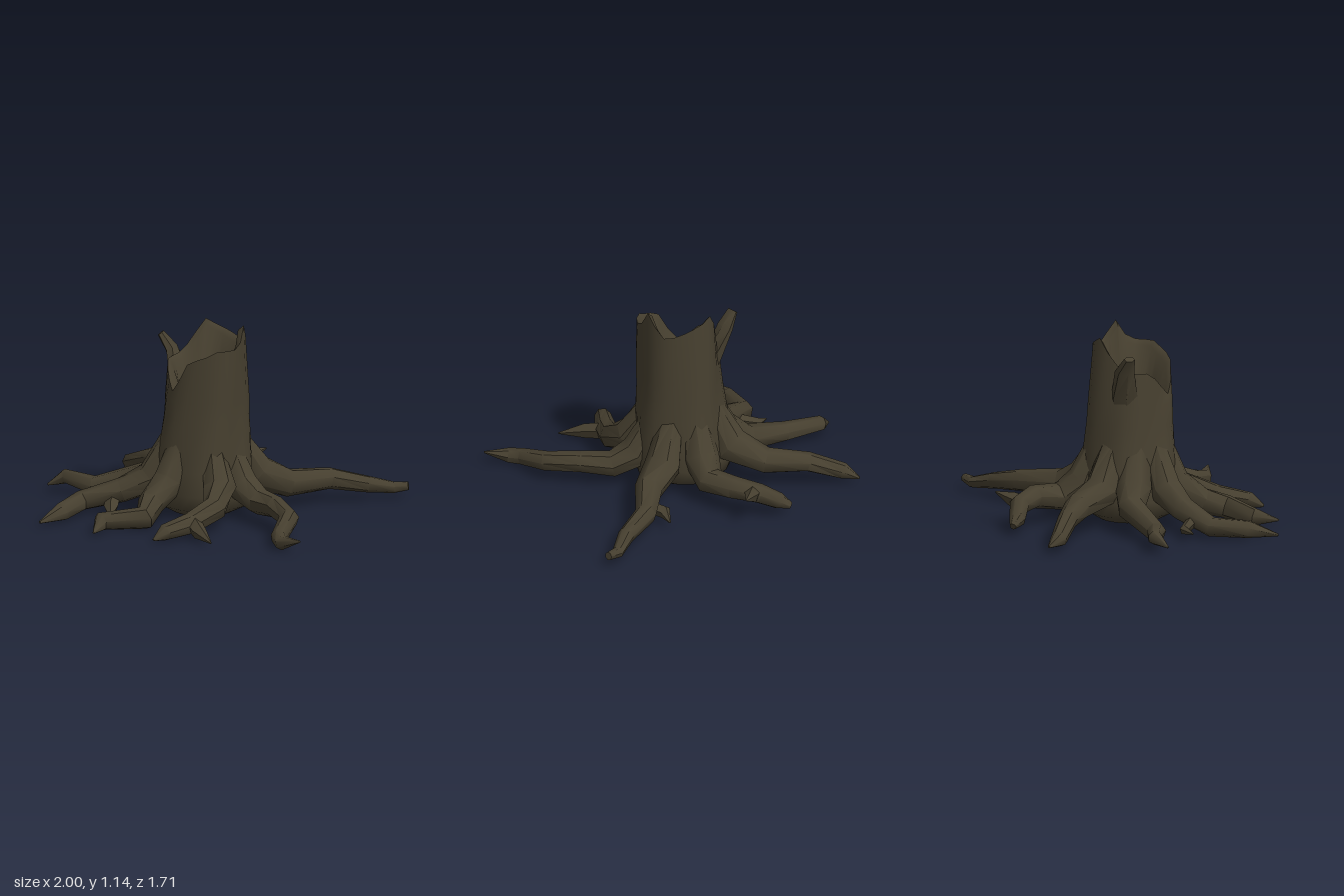
import * as THREE from 'three';
import { toCreasedNormals } from 'three/addons/utils/BufferGeometryUtils.js';

const bark = new THREE.MeshStandardMaterial({ color: 0x463f2f });
bark.name = 'dark bark';

// Skin a list of closed rings (arrays of Vector3) into one surface
function loft(name, rings, crease = 0.9) {
  const n = rings[0].length, pos = [], index = [];
  rings.forEach(ring => ring.forEach(p => pos.push(p.x, p.y, p.z)));
  for (let k = 0; k < rings.length - 1; k++) {
    for (let i = 0; i < n; i++) {
      const a = k * n + i, b = k * n + (i + 1) % n, c = a + n, d = b + n;
      index.push(a, c, b, b, c, d);
    }
  }
  const geo = new THREE.BufferGeometry();
  geo.setAttribute('position', new THREE.Float32BufferAttribute(pos, 3));
  geo.setIndex(index);
  const mesh = new THREE.Mesh(toCreasedNormals(geo, crease), bark);
  mesh.name = name;
  return mesh;
}

// Angular tapered limb through points [x, y, z, radius]
function limb(name, path, flat = 1, sides = 7) {
  const pts = path.map(p => new THREE.Vector3(p[0], p[1], p[2]));
  const up = new THREE.Vector3(0, 1, 0);
  const rings = pts.map((p, k) => {
    const ahead = pts[Math.min(k + 1, pts.length - 1)].clone().sub(pts[Math.min(k, pts.length - 2)]).normalize();
    const behind = pts[Math.max(k, 1)].clone().sub(pts[Math.max(k - 1, 0)]).normalize();
    const t = ahead.add(behind).normalize();
    const s = t.clone().cross(up).normalize();
    const v = s.clone().cross(t);
    return Array.from({ length: sides }, (_, i) => {
      const a = i / sides * Math.PI * 2 + 0.3, r = path[k][3];
      const q = p.clone().addScaledVector(s, Math.cos(a) * r).addScaledVector(v, Math.sin(a) * r * flat);
      q.y = Math.max(q.y, 0.008);
      return q;
    });
  });
  // close both ends
  rings.unshift(rings[0].map(() => pts[0].clone()));
  rings.push(rings[0].map(() => pts[pts.length - 1].clone()));
  return loft(name, rings);
}

// Hollow trunk with a splintered rim, 15 degrees per step from +x towards +z
function trunk() {
  const rim = [1.06, 1.03, 1.03, 1.03, 1.0, 0.98, 0.95, 0.84, 0.77, 0.82, 0.88, 0.92,
    0.92, 0.93, 0.97, 1.04, 1.12, 1.09, 1.07, 1.05, 1.03, 1.02, 1.08, 1.15];
  const ring = (r, height, bump = 0, cx = 0.02, cz = 0.01) => rim.map((top, i) => {
    const a = i / rim.length * Math.PI * 2;
    const y = height(top);
    const rr = r + bump * Math.cos(5 * a + y * 4);
    return new THREE.Vector3(cx + rr * Math.cos(a), y, cz + rr * Math.sin(a));
  });
  // outer wall: [radius, y, ridge depth, centre x]
  const outer = [[0, 0.02, 0, 0], [0.18, 0.02, 0, 0], [0.27, 0.07, 0.01, 0], [0.29, 0.16, 0.015, 0],
    [0.28, 0.3, 0.015, 0], [0.265, 0.45, 0.012, 0.01], [0.25, 0.6, 0.01, 0.015], [0.245, 0.72, 0.01, 0.02]]
    .map(([r, y, b, cx]) => ring(r, () => y, b, cx));
  // rim and hollow
  return loft('trunk', [...outer,
    ring(0.23, t => t, 0.005, 0.03, 0.02),
    ring(0.2, t => t - 0.03, 0.01, 0.03, 0.02),
    ring(0.16, t => 0.7 + (t - 0.77) * 0.25, 0.015, 0.03, 0.02),
    ring(0.1, () => 0.62, 0.01, 0.03, 0.02),
    ring(0, () => 0.6, 0, 0.03, 0.02)], 1.0);
}

export function createModel() {
  const group = new THREE.Group();
  group.name = 'treeStump';
  group.add(trunk());

  // Splinter leaning out of the rim
  group.add(limb('rimSplinter', [[-0.1, 0.5, 0.0, 0.07], [-0.18, 0.78, -0.05, 0.085],
    [-0.25, 0.95, -0.06, 0.06], [-0.31, 1.035, -0.04, 0.035]], 0.6, 6));

  // Main roots: each starts inside the trunk and runs out to a point
  const roots = {
    backLeftRoot: [[0.13, 0.46, -0.12, 0.07], [0.24, 0.22, -0.22, 0.11], [0.39, 0.15, -0.33, 0.085],
      [0.53, 0.14, -0.57, 0.065], [0.72, 0.1, -0.69, 0.05], [0.83, 0.07, -0.8, 0.035], [0.91, 0.08, -0.835, 0.025]],
    backRoot: [[0.01, 0.5, -0.16, 0.07], [0.01, 0.24, -0.26, 0.11], [0.02, 0.15, -0.4, 0.085],
      [-0.05, 0.17, -0.57, 0.07], [-0.17, 0.15, -0.67, 0.06], [-0.28, 0.09, -0.7, 0.05], [-0.34, 0.06, -0.735, 0.02]],
    backRightRoot: [[-0.12, 0.48, -0.1, 0.08], [-0.22, 0.23, -0.19, 0.11], [-0.37, 0.17, -0.36, 0.08],
      [-0.6, 0.15, -0.45, 0.06], [-0.79, 0.08, -0.53, 0.05], [-0.86, 0.05, -0.6, 0.008]],
    rightRoot: [[-0.14, 0.52, 0.02, 0.08], [-0.26, 0.24, -0.01, 0.11], [-0.4, 0.16, -0.04, 0.085],
      [-0.7, 0.08, 0.06, 0.06], [-0.92, 0.1, 0.02, 0.045], [-1.0, 0.055, 0.085, 0.006]],
    frontRightRoot: [[-0.12, 0.48, 0.12, 0.08], [-0.24, 0.22, 0.19, 0.1], [-0.4, 0.14, 0.27, 0.075],
      [-0.6, 0.08, 0.4, 0.06], [-0.61, 0.06, 0.62, 0.055], [-0.66, 0.03, 0.79, 0.008]],
    frontRoot: [[-0.03, 0.5, 0.16, 0.08], [-0.09, 0.23, 0.26, 0.1], [-0.12, 0.13, 0.42, 0.08],
      [-0.08, 0.08, 0.57, 0.07], [-0.3, 0.06, 0.7, 0.055], [-0.265, 0.03, 0.85, 0.006]],
    frontLeftRoot: [[0.12, 0.46, 0.14, 0.07], [0.23, 0.22, 0.22, 0.1], [0.28, 0.14, 0.37, 0.075],
      [0.22, 0.08, 0.56, 0.065], [0.15, 0.06, 0.74, 0.05], [0.12, 0.03, 0.82, 0.008]],
    leftRoot: [[0.16, 0.44, 0.01, 0.07], [0.28, 0.2, 0.04, 0.1], [0.42, 0.13, 0.08, 0.08],
      [0.58, 0.14, 0.17, 0.065], [0.74, 0.12, 0.3, 0.06], [0.79, 0.06, 0.51, 0.05], [0.85, 0.05, 0.58, 0.045],
      [0.99, 0.085, 0.62, 0.006]],
  };
  for (const [name, path] of Object.entries(roots)) group.add(limb(name, path));

  // Short side shoots
  const shoots = [
    [[0.46, 0.11, -0.42, 0.04], [0.37, 0.08, -0.5, 0.04], [0.385, 0.06, -0.6, 0.005]],
    [[-0.15, 0.15, -0.63, 0.05], [-0.1, 0.17, -0.7, 0.045], [-0.02, 0.2, -0.79, 0.005]],
    [[-0.44, 0.1, 0.29, 0.04], [-0.41, 0.06, 0.38, 0.045], [-0.36, 0.03, 0.48, 0.005]],
    [[-0.47, 0.1, 0.32, 0.04], [-0.62, 0.07, 0.24, 0.03], [-0.69, 0.06, 0.28, 0.005]],
    [[0.24, 0.08, 0.55, 0.05], [0.32, 0.06, 0.63, 0.045], [0.45, 0.03, 0.72, 0.005]],
  ];
  shoots.forEach((path, i) => group.add(limb('rootShoot' + (i + 1), path, 1, 5)));
  return group;
}
